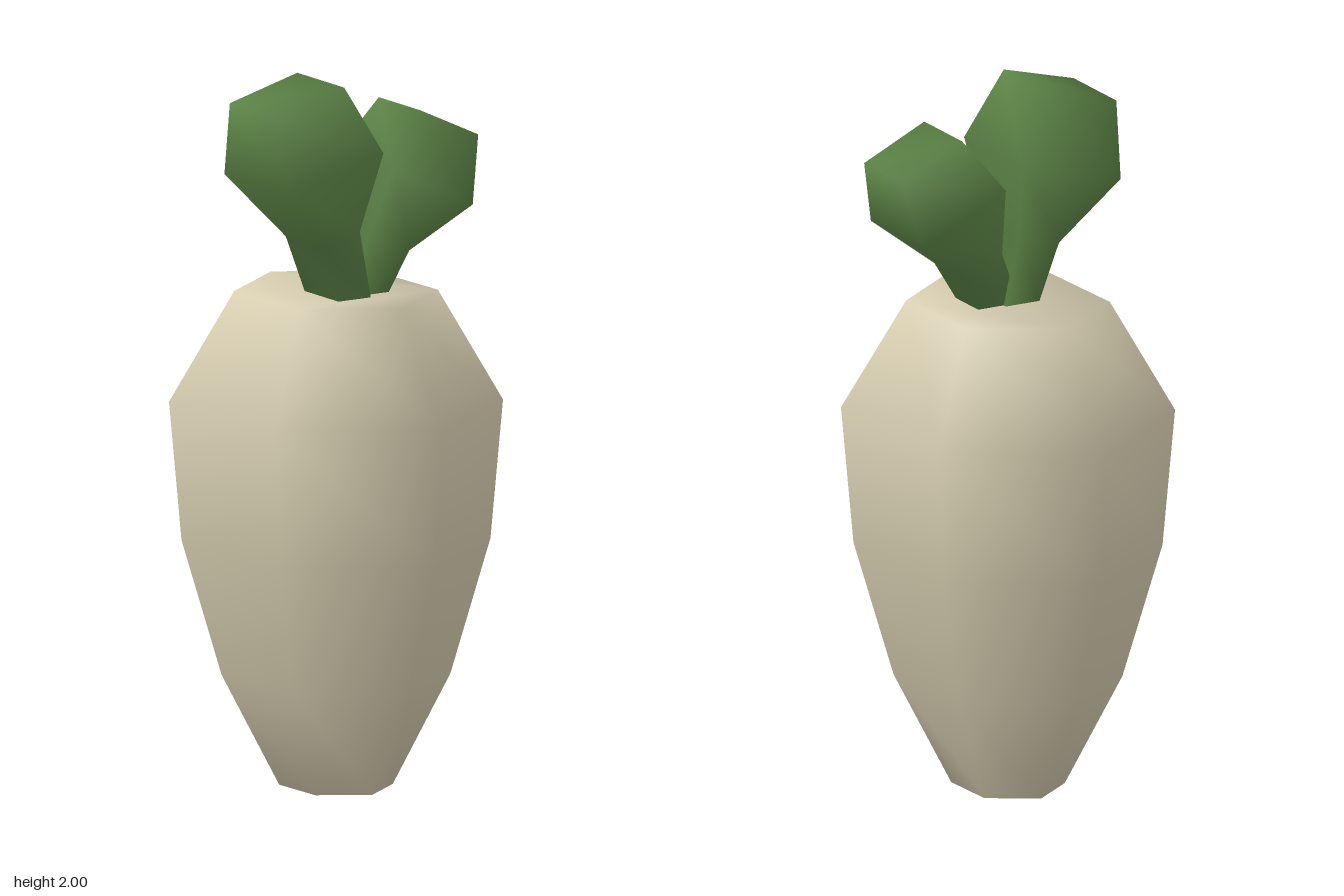
import * as THREE from 'three';

// Closed smooth skin over a stack of rings, lowest ring first
function loft(rings) {
  const n = rings[0].length, last = (rings.length - 1) * n;
  const index = [];
  for (let i = 0; i < rings.length - 1; i++) {
    for (let j = 0; j < n; j++) {
      const a = i * n + j, b = i * n + (j + 1) % n;
      index.push(a, a + n, b + n, a, b + n, b);
    }
  }
  for (let j = 1; j < n - 1; j++) {
    index.push(0, j, j + 1);
    index.push(last, last + j + 1, last + j);
  }
  const geometry = new THREE.BufferGeometry();
  geometry.setAttribute('position', new THREE.Float32BufferAttribute(rings.flat(2), 3));
  geometry.setIndex(index);
  geometry.computeVertexNormals();
  return geometry;
}

// Four-cornered leaf ring, turned 30 degrees about y; each u edge has its own height
function leafRing([u0, y0, u1, y1, vMid, vHalf]) {
  const c = Math.cos(Math.PI / 6), s = 0.5;
  const point = (u, y, v) => [c * u + s * v, y, -s * u + c * v];
  return [
    point(u0, y0, vMid - vHalf), point(u1, y1, vMid - vHalf),
    point(u1, y1, vMid + vHalf), point(u0, y0, vMid + vHalf),
  ];
}

export function createModel() {
  const group = new THREE.Group();
  const cream = new THREE.MeshStandardMaterial({ name: 'cream root', color: 0xd6cdb0 });
  const green = new THREE.MeshStandardMaterial({ name: 'leaf green', color: 0x5c8446 });

  const add = (name, rings, material) => {
    const mesh = new THREE.Mesh(loft(rings), material);
    mesh.name = name;
    group.add(mesh);
  };

  // Root: a slightly skewed hexagon scaled along its height
  const hexagon = [[0.46, 0.01], [0.27, 0.43], [-0.19, 0.42], [-0.46, -0.01], [-0.27, -0.43], [0.19, -0.42]];
  const profile = [[0, 0.34], [0.31, 0.685], [0.69, 0.925], [1.08, 1], [1.39, 0.61]];
  add('root', profile.map(([y, k]) => hexagon.map(([x, z]) => [x * k, y, z * k])), cream);

  // Leaves: base, neck, widest ring and top
  add('tallLeaf', [
    [-0.075, 1.385, 0.03, 1.385, 0.045, 0.085],
    [-0.136, 1.55, -0.01, 1.58, 0.045, 0.09],
    [-0.29, 1.73, 0.02, 1.81, 0.045, 0.163],
    [-0.305, 1.94, -0.083, 2.0, 0.05, 0.118],
  ].map(leafRing), green);
  add('shortLeaf', [
    [-0.02, 1.385, 0.107, 1.385, 0.035, 0.062],
    [0.036, 1.54, 0.176, 1.5, 0.035, 0.065],
    [0.07, 1.75, 0.332, 1.625, 0.035, 0.145],
    [0.186, 1.9, 0.377, 1.81, 0.035, 0.104],
  ].map(leafRing), green);

  return group;
}
